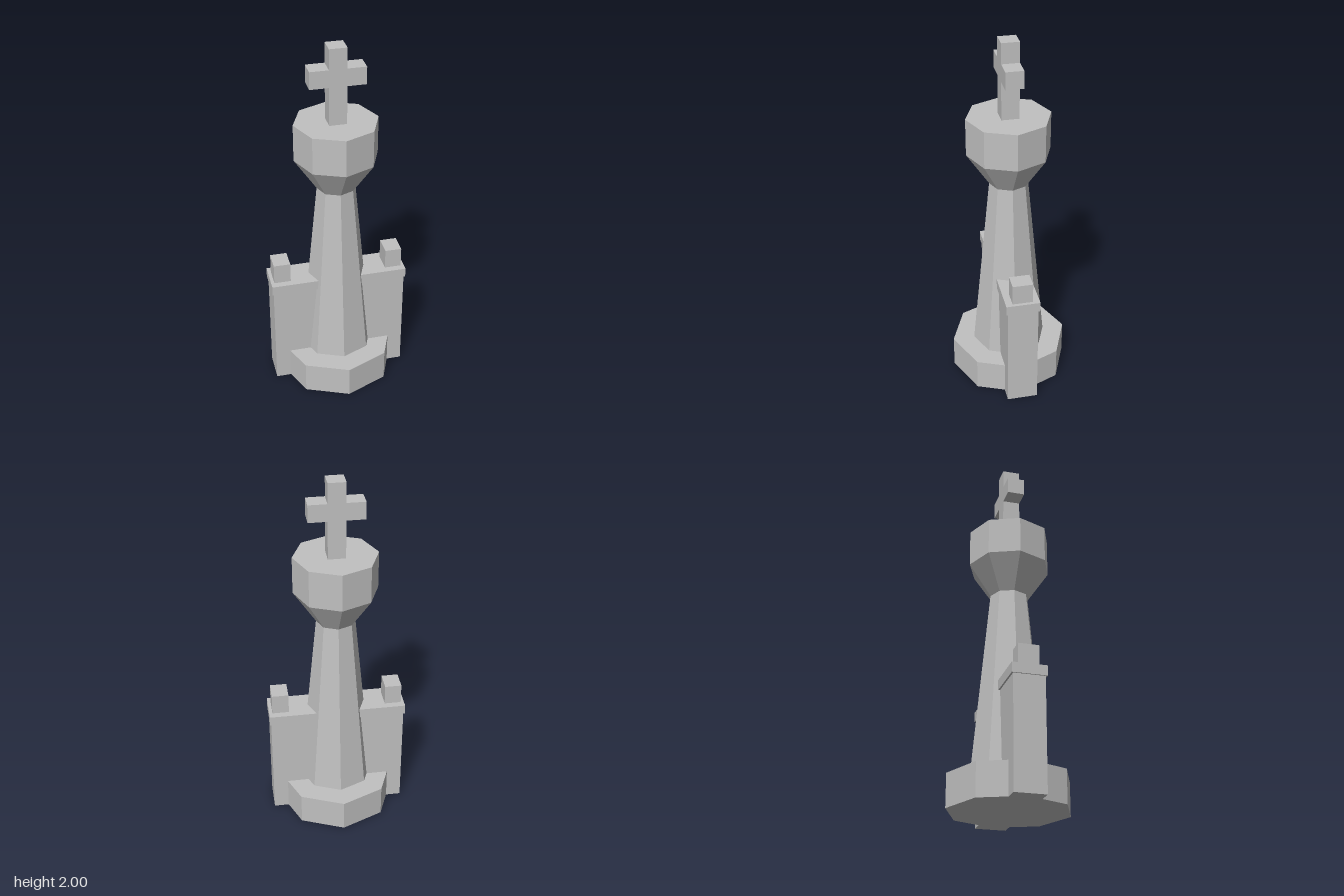
import * as THREE from 'three';

export function createModel() {
  const group = new THREE.Group();
  const stone = new THREE.MeshStandardMaterial({ color: 0xc0c0c0, flatShading: true });
  stone.name = 'stone grey';

  function add(name, geometry, x, y, parent = group) {
    const mesh = new THREE.Mesh(geometry, stone);
    mesh.name = name;
    mesh.position.set(x, y, 0);
    parent.add(mesh);
  }
  // eight-sided section between two heights, with a corner facing the front
  function octagon(name, rBottom, rTop, y0, y1, open = false) {
    add(name, new THREE.CylinderGeometry(rTop, rBottom, y1 - y0, 8, 1, open), 0, (y0 + y1) / 2);
  }
  // box from x0 to x1 and y0 to y1, centred on z = 0
  function block(name, x0, x1, y0, y1, depth, parent) {
    add(name, new THREE.BoxGeometry(x1 - x0, y1 - y0, depth), (x0 + x1) / 2, (y0 + y1) / 2, parent);
  }

  // tower
  octagon('base', 0.326, 0.326, 0, 0.18);
  octagon('shaft', 0.205, 0.106, 0.18, 1.2, true);
  octagon('crownFlare', 0.106, 0.226, 1.2, 1.38, true);
  octagon('crown', 0.226, 0.226, 1.38, 1.585);

  // cross on top
  block('crossPost', -0.047, 0.047, 1.585, 2, 0.095);
  for (const side of [-1, 1]) {
    const [a, b] = side < 0 ? [-0.147, -0.047] : [0.047, 0.147];
    block(side < 0 ? 'crossArmRight' : 'crossArmLeft', a, b, 1.795, 1.89, 0.095);
  }

  // side buttresses, each with a ledge and a small block on it
  for (const side of [-1, 1]) {
    const buttress = new THREE.Group();
    buttress.name = side < 0 ? 'buttressRight' : 'buttressLeft';
    const part = (name, inner, outer, y0, y1, depth) =>
      block(name, Math.min(side * inner, side * outer), Math.max(side * inner, side * outer), y0, y1, depth, buttress);
    part('wall', 0.08, 0.373, 0, 0.6, 0.168);
    part('ledge', 0.08, 0.38, 0.6, 0.655, 0.186);
    part('merlon', 0.27, 0.362, 0.655, 0.768, 0.111);
    group.add(buttress);
  }
  return group;
}
